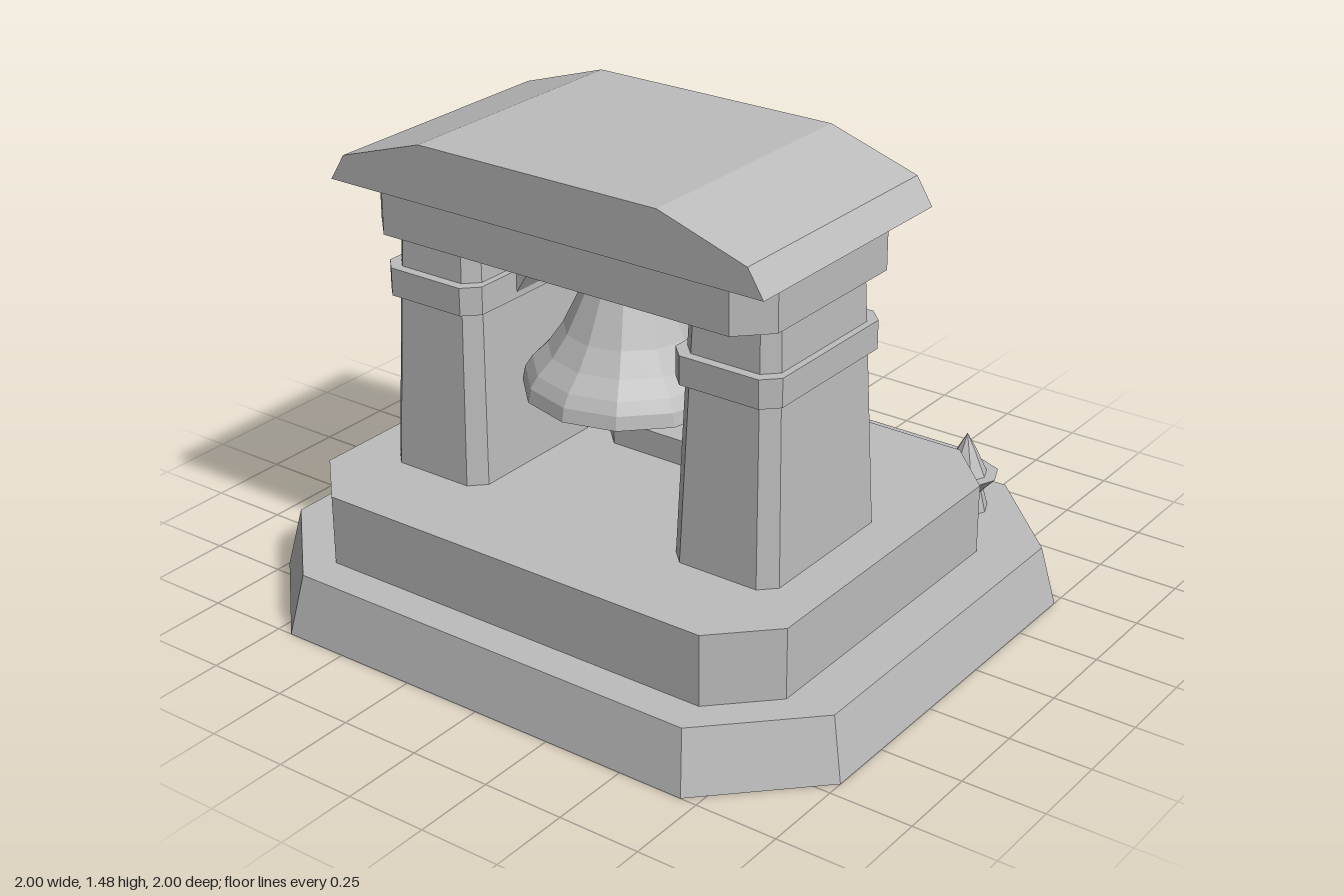
import * as THREE from 'three';

const stone = new THREE.MeshStandardMaterial({ color: 0xbcbcbc, side: THREE.DoubleSide });
stone.name = 'stoneGrey';

// Rectangle with chamfered corners at height y
function ring(hx, hz, c, y) {
  return [[hx, c - hz], [hx, hz - c], [hx - c, hz], [c - hx, hz],
    [-hx, hz - c], [-hx, c - hz], [c - hx, -hz], [hx - c, -hz]]
    .map(([x, z]) => new THREE.Vector3(x, y, z));
}

// Flat-faced block between two rings, with an optional underside
function block(low, high, underside = true) {
  const pts = [];
  const n = low.length;
  const top = new THREE.Vector3(0, high[0].y, 0);
  const bottom = new THREE.Vector3(0, low[0].y, 0);
  for (let i = 0; i < n; i++) {
    const j = (i + 1) % n;
    pts.push(low[i], high[i], low[j], low[j], high[i], high[j]);
    pts.push(top, high[j], high[i]);
    if (underside) pts.push(bottom, low[i], low[j]);
  }
  const g = new THREE.BufferGeometry().setFromPoints(pts);
  g.computeVertexNormals();
  return g;
}

function flat(g) {
  const f = g.index ? g.toNonIndexed() : g;
  f.computeVertexNormals();
  return f;
}

function lathe(profile, sides) {
  return flat(new THREE.LatheGeometry(profile.map(([r, y]) => new THREE.Vector2(r, y)), sides));
}

function extrude(outline, depth) {
  const shape = new THREE.Shape(outline.map(([x, y]) => new THREE.Vector2(x, y)));
  return new THREE.ExtrudeGeometry(shape, { depth, bevelEnabled: false });
}

export function createModel() {
  const model = new THREE.Group();
  model.name = 'bellShrine';
  const add = (name, geometry, x = 0, y = 0, z = 0, parent = model) => {
    const mesh = new THREE.Mesh(geometry, stone);
    mesh.name = name;
    mesh.position.set(x, y, z);
    parent.add(mesh);
    return mesh;
  };

  // Two-tier platform, hollow underneath
  add('base', block(ring(1, 0.88, 0.3, 0), ring(0.96, 0.84, 0.285, 0.185), false), 0, 0, 0.12);
  add('platform', block(ring(0.815, 0.66, 0.165, 0.185), ring(0.815, 0.66, 0.165, 0.4), false), 0, 0, 0.19);

  // Steps climbing from the back, open below
  [[0.4, -1, -0.6, 0, 0.105], [0.38, -0.805, -0.41, 0.105, 0.205], [0.36, -0.615, -0.41, 0.205, 0.305]]
    .forEach(([hx, z0, z1, y0, y1], i) => {
      const hz = (z1 - z0) / 2;
      add('step' + (i + 1), block(ring(hx, hz, 0, y0), ring(hx, hz, 0, y1), false), 0, 0, (z0 + z1) / 2);
    });

  // Mirrored pillars, collars, plaques, braces and lanterns
  const lantern = lathe([[0, 0.185], [0.072, 0.185], [0.055, 0.25], [0.1, 0.3],
    [0.065, 0.3], [0.03, 0.375], [0, 0.43]], 8);
  const brace = extrude([[0.225, 1.135], [0.35, 0.93], [0.51, 1.155], [0.245, 1.155]], 0.17);
  const mirroredBrace = extrude([[-0.225, 1.135], [-0.245, 1.155], [-0.51, 1.155], [-0.35, 0.93]], 0.17);
  for (const side of [1, -1]) {
    const prefix = side > 0 ? 'left' : 'right';
    const x = side * 0.508;
    add(prefix + 'Pillar', block(ring(0.172, 0.275, 0.045, 0.4), ring(0.147, 0.24, 0.04, 1.145)), x, 0, 0.295);
    add(prefix + 'Collar', block(ring(0.172, 0.275, 0.045, 0.935), ring(0.172, 0.275, 0.045, 1.02)), x, 0, 0.295);
    add(prefix + 'Plaque', new THREE.BoxGeometry(0.16, 0.27, 0.06), x, 0.695, 0.025);
    add(prefix + 'Brace', side > 0 ? brace : mirroredBrace, 0, 0, 0.205);
    add(prefix + 'Lantern', lantern, side * 0.64, 0, -0.53);
  }

  // Lintel and roof
  add('lintel', block(ring(0.68, 0.35, 0.09, 1.155), ring(0.68, 0.35, 0.09, 1.305)), 0, 0, 0.29);
  add('roof', extrude([[-0.73, 1.305], [0.73, 1.305], [0.68, 1.385], [0.4, 1.475],
    [-0.4, 1.475], [-0.68, 1.385]], 0.8), 0, 0, -0.11);

  // Small forked twig on the back of the roof
  [[0.075, 1.415], [-0.085, 1.435]].forEach(([x, y], i) => {
    const dx = x - 0.02, dy = y - 1.32;
    const twig = add('roofTwig' + (i + 1), new THREE.BoxGeometry(Math.hypot(dx, dy), 0.02, 0.025),
      0.02 + dx / 2, 1.32 + dy / 2, -0.12);
    twig.rotation.z = Math.atan2(dy, dx);
  });

  // Hanging bell with neck and clapper
  const bell = new THREE.Group();
  bell.name = 'bell';
  bell.position.z = 0.285;
  model.add(bell);
  add('bellBody', lathe([[0.31, 0.725], [0.302, 0.765], [0.28, 0.8], [0.235, 0.845],
    [0.19, 0.91], [0.12, 1.055], [0, 1.055]], 12), 0, 0, 0, bell);
  add('bellNeck', flat(new THREE.CylinderGeometry(0.072, 0.072, 0.11, 12)), 0, 1.105, 0, bell);
  add('clapper', flat(new THREE.CylinderGeometry(0.015, 0.05, 0.14, 8)), 0, 0.715, 0, bell);

  // Low pedestal with two stones
  add('pedestal', block(ring(0.278, 0.19, 0.07, 0.4), ring(0.278, 0.19, 0.07, 0.48)), 0, 0, -0.09);
  add('pedestalStone1', block(ring(0.07, 0.065, 0.025, 0.48), ring(0.07, 0.065, 0.025, 0.535)), -0.16, 0, -0.085);
  add('pedestalStone2', block(ring(0.063, 0.06, 0.025, 0.48), ring(0.063, 0.06, 0.025, 0.54)), 0.11, 0, -0.06);

  return model;
}
